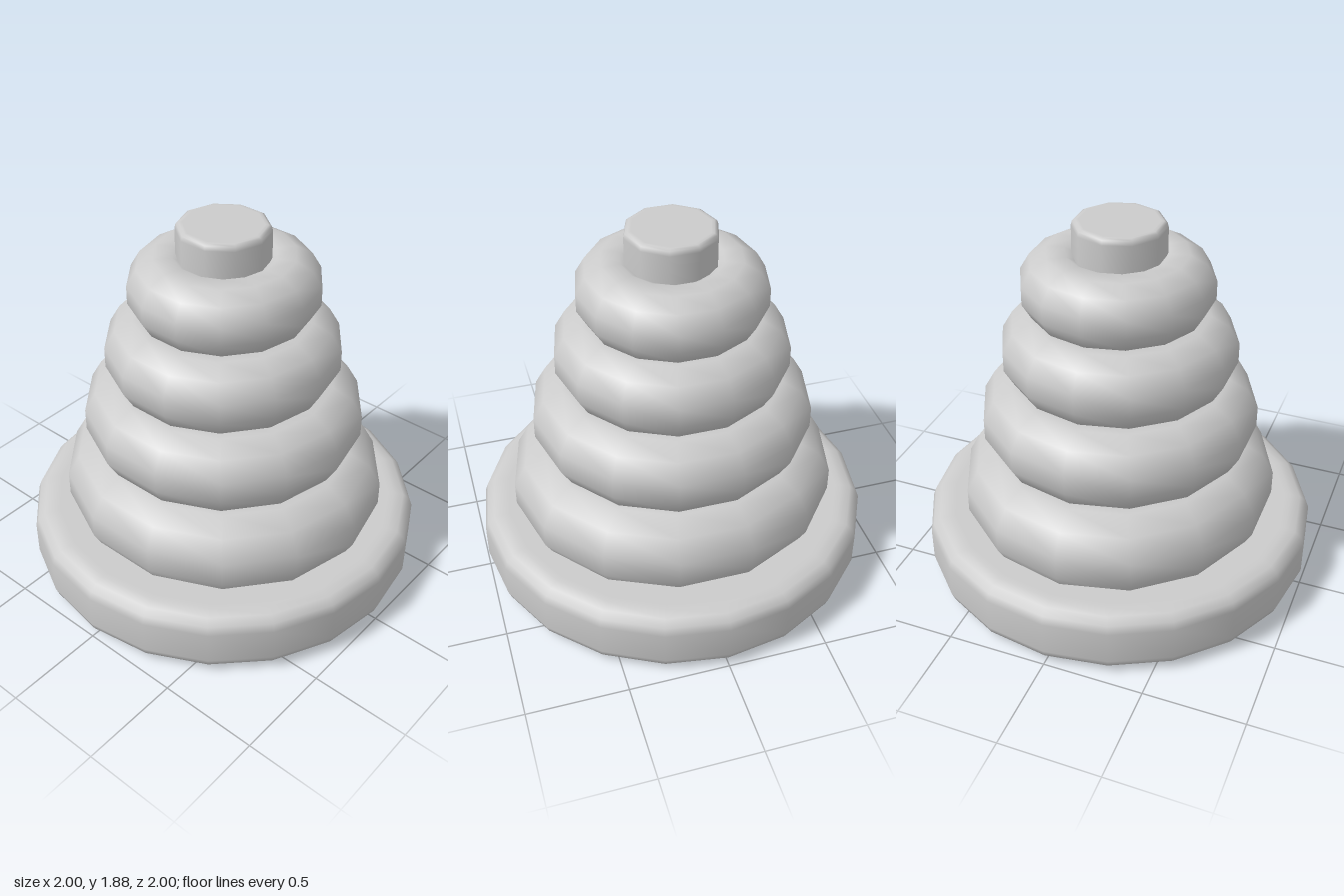
import * as THREE from 'three';

const material = new THREE.MeshStandardMaterial({ color: 0xcccccc });

// Revolves [radius, height] points, with one corner of the polygon on +x
function turned(name, points, sides) {
  const profile = points.map(([r, y]) => new THREE.Vector2(r, y));
  const mesh = new THREE.Mesh(new THREE.LatheGeometry(profile, sides, Math.PI / 2), material);
  mesh.name = name;
  return mesh;
}

// Closed 12-sided tube section, starting on its hidden inner side
function ringProfile(outer, y, height) {
  const tube = height / 2 / Math.cos(Math.PI / 12);
  const centre = outer - height / 2;
  const points = [];
  for (let i = 0; i <= 12; i++) {
    const a = -Math.PI + (i + 0.5) * Math.PI / 6;
    points.push([centre + tube * Math.cos(a), y + tube * Math.sin(a)]);
  }
  return points;
}

export function createModel() {
  const model = new THREE.Group();
  model.name = 'stackingRings';

  // Wide base disc with rounded rims
  model.add(turned('base', [
    [0, 0.005], [0.87, 0.005], [0.9, 0.005], [0.95, 0.02], [0.985, 0.05], [1, 0.09],
    [1, 0.26], [0.985, 0.3], [0.95, 0.328], [0.9, 0.337], [0.87, 0.337], [0, 0.337],
  ], 20));

  // Central post with a small bevel at the top
  model.add(turned('post', [
    [0, 0.3], [0.225, 0.3], [0.225, 1.7], [0.225, 1.85], [0.219, 1.872],
    [0.205, 1.88], [0.19, 1.88], [0, 1.88],
  ], 10));

  // Four rings, smaller towards the top
  const rings = [
    { outer: 0.827, y: 0.462, height: 0.455, depth: 0.957, z: 0 },
    { outer: 0.702, y: 0.866, height: 0.405, depth: 0.982, z: 0 },
    { outer: 0.577, y: 1.225, height: 0.38, depth: 1.006, z: 0 },
    { outer: 0.46, y: 1.555, height: 0.34, depth: 1.02, z: -0.01 },
  ];
  rings.forEach((r, i) => {
    const ring = turned(`ring${i + 1}`, ringProfile(r.outer, r.y, r.height), 14);
    ring.scale.z = r.depth;
    ring.position.z = r.z;
    model.add(ring);
  });
  return model;
}
